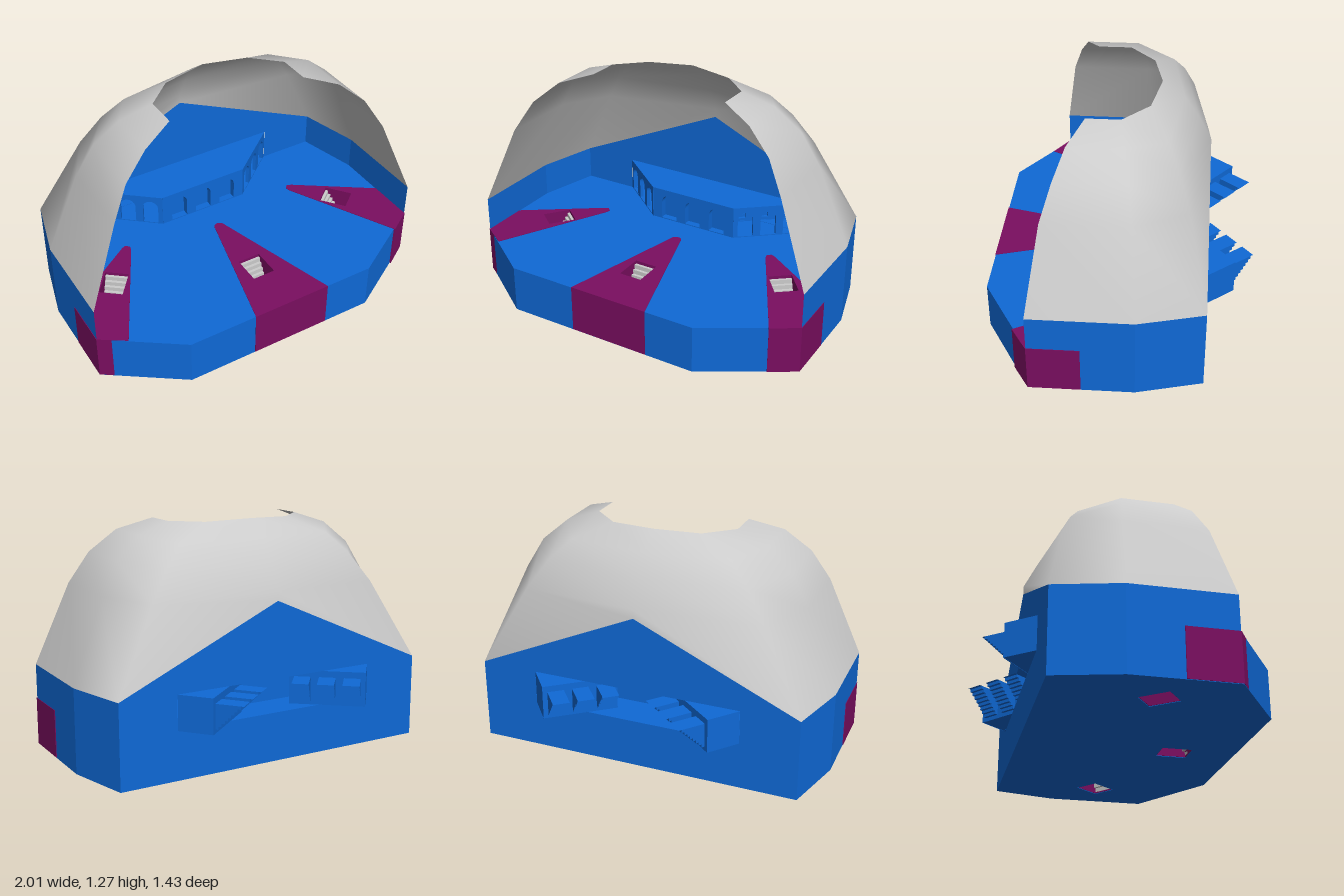
import * as THREE from 'three';

const BLUE = 0x0f69d6, PURPLE = 0x7a0e60, GREY = 0xcccccc;
const FLOOR = 0.265, EAVE = 0.46, ROOF = 0.455;

const material = (color) => new THREE.MeshStandardMaterial({ color, side: THREE.DoubleSide });
const blue = material(BLUE), purple = material(PURPLE), grey = material(GREY);

function add(parent, name, geometry, mat) {
  const mesh = new THREE.Mesh(geometry, mat);
  mesh.name = name;
  parent.add(mesh);
  return mesh;
}

// Surface through columns of [x, y, z] points
function sheet(columns, smooth = false) {
  const rows = columns[0].length, index = [];
  for (let i = 0; i < columns.length - 1; i++) {
    for (let j = 0; j < rows - 1; j++) {
      const a = i * rows + j, b = a + rows;
      index.push(a, b, a + 1, b, b + 1, a + 1);
    }
  }
  let geometry = new THREE.BufferGeometry();
  geometry.setAttribute('position', new THREE.Float32BufferAttribute(columns.flat(2), 3));
  geometry.setIndex(index);
  if (!smooth) geometry = geometry.toNonIndexed();
  geometry.computeVertexNormals();
  return geometry;
}

// Ribbon of the given width that follows a path of [z, y] points
const ribbon = (path, width) =>
  sheet(path.map(([z, y]) => [[-width / 2, y, z], [width / 2, y, z]]));

// Zigzag of steps that rises towards -z
function steps(z0, y0, run, rise, count) {
  const path = [[z0, y0]];
  for (let i = 0; i < count; i++) {
    const z = z0 - (run * i) / count, y = y0 + (rise * (i + 1)) / count;
    path.push([z, y], [z - run / count, y]);
  }
  return path;
}

// Slab from a plan of [x, z] points with holes
const planShape = (pts) => new THREE.Shape(pts.map(([x, z]) => new THREE.Vector2(x, -z)));
function slab(pts, holes, y, height) {
  const shape = planShape(pts);
  shape.holes = holes.map(planShape);
  return new THREE.ExtrudeGeometry(shape, { depth: height, bevelEnabled: false, curveSegments: 8 })
    .rotateX(-Math.PI / 2).translate(0, y, 0);
}

function archPath(x, width, bottom, top) {
  const r = width / 2, path = new THREE.Path();
  path.moveTo(x - r, bottom);
  path.lineTo(x + r, bottom);
  path.lineTo(x + r, top - r);
  path.absarc(x, top - r, r, 0, Math.PI, false);
  path.lineTo(x - r, bottom);
  return path;
}

const rectangle = (x0, y0, x1, y1) => new THREE.Shape(
  [[x0, y0], [x1, y0], [x1, y1], [x0, y1]].map(([x, y]) => new THREE.Vector2(x, y)));

// Upright wall pierced by arches, front face at z = 0
function archedWall(length, spacing, width, depth) {
  const shape = rectangle(-length / 2, FLOOR, length / 2, ROOF);
  for (const i of [-1, 0, 1]) shape.holes.push(archPath(i * spacing, width, FLOOR + 0.005, 0.42));
  return new THREE.ExtrudeGeometry(shape, { depth, bevelEnabled: false, curveSegments: 10 })
    .translate(0, 0, -depth);
}

// Corners of a hatch around a centre, turned about y
function hatchPlan({ x, z, turn }, w, d) {
  const c = Math.cos(turn), s = Math.sin(turn);
  return [[-w, -d], [w, -d], [w, d], [-w, d]].map(([u, v]) => [x + u * c + v * s, z - u * s + v * c]);
}

function buildStage(group) {
  const hatches = [
    { x: 0, z: 0.38, turn: 0 },
    { x: 0.74, z: 0.1, turn: 0.67 },
    { x: -0.74, z: 0.1, turn: -0.67 },
  ];
  const outline = [[-1, 0.43], [-0.6, 0.71], [0.53, 0.71], [1, 0.43], [1, -0.12],
    [0.91, -0.47], [-0.91, -0.47], [-1, -0.12]];
  add(group, 'platform', slab(outline, hatches.map((h) => hatchPlan(h, 0.068, 0.083)), 0, FLOOR), blue);

  // Tapering runways with rounded tips, slightly proud of the platform
  const sideRunway = (s) => [[0.862, 0.522], [1.003, 0.432], [1.003, 0.16], [0.575, -0.135],
    [0.55, -0.145], [0.53, -0.125], [0.535, -0.1]].map(([x, z]) => [s * x, z]);
  const tip = [];
  for (let i = 0; i <= 8; i++) {
    const a = (Math.PI * i) / 8;
    tip.push([0.032 * Math.cos(a), -0.018 - 0.032 * Math.sin(a)]);
  }
  const runways = [[[-0.21, 0.713], [0.25, 0.713], ...tip], sideRunway(1), sideRunway(-1)];
  runways.forEach((plan, i) => {
    const h = hatches[i];
    add(group, 'runway', slab(plan, [hatchPlan(h, 0.065, 0.08)], 0.003, FLOOR), purple);
    const stair = add(group, 'hatchStairs', ribbon(steps(0.08, 0.01, 0.16, 0.24, 10), 0.13), grey);
    stair.position.set(h.x, 0, h.z);
    stair.rotation.y = h.turn;
  });
}

function buildWalls(group) {
  for (const s of [1, -1]) {
    const plan = [[1, 0.43], [1, -0.12], [0.91, -0.47]];
    add(group, 'sideWall', sheet(plan.map(([x, z]) => [[s * x, FLOOR, z], [s * x, EAVE, z]])), blue);
  }
  // Gabled back wall with the opening behind the arcade
  const gable = new THREE.Shape([[-0.91, FLOOR], [0.91, FLOOR], [0.91, EAVE], [0, 0.87], [-0.91, EAVE]]
    .map(([x, y]) => new THREE.Vector2(x, y)));
  gable.holes.push(rectangle(-0.59, FLOOR + 0.004, 0.59, ROOF));
  add(group, 'backWall', new THREE.ShapeGeometry(gable).translate(0, 0, -0.47), blue);
}

function buildDome(group) {
  const half = [
    [[1, 0.46, 0.43], [0.82, 0.91, 0.36], [0.72, 1.08, 0.305], [0.58, 1.2, 0.25], [0.4, 1.26, 0.17]],
    [[1, 0.46, -0.12], [0.82, 0.91, -0.09], [0.72, 1.08, -0.07], [0.58, 1.2, -0.04], [0.4, 1.26, -0.01]],
    [[0.91, 0.46, -0.47], [0.67, 0.9, -0.37], [0.56, 1.06, -0.31], [0.45, 1.17, -0.25], [0.25, 1.26, -0.15]],
  ];
  const centre = [[0, 0.87, -0.47], [0, 0.92, -0.47], [0, 1.06, -0.4], [0, 1.18, -0.32], [0, 1.27, -0.2]];
  const mirrored = half.map((col) => col.map(([x, y, z]) => [-x, y, z])).reverse();
  add(group, 'domeShell', sheet([...half, centre, ...mirrored], true), grey);
}

function buildArcade(group) {
  // Centre bay with three blind niches
  const front = add(group, 'centreArcade', archedWall(0.54, 0.16, 0.1, 0.04), blue);
  front.position.z = -0.21;
  add(group, 'nicheBack', new THREE.PlaneGeometry(0.5, ROOF - FLOOR)
    .translate(0, (ROOF + FLOOR) / 2, -0.25), blue);
  const roof = planShape([[-0.59, -0.47], [-0.27, -0.21], [0.27, -0.21], [0.59, -0.47]]);
  add(group, 'arcadeRoof', new THREE.ShapeGeometry(roof).rotateX(-Math.PI / 2).translate(0, ROOF, 0), blue);

  // Angled wings: arches, corridor and three enclosed flights each
  const length = 0.412, depth = 0.19, spacing = 0.134, width = 0.09;
  for (const s of [1, -1]) {
    const wing = new THREE.Group();
    wing.name = 'arcadeWing';
    wing.position.set(s * 0.43, 0, -0.34);
    wing.rotation.y = s * 0.688;
    group.add(wing);
    add(wing, 'wingArches', archedWall(length, spacing, width, 0.02), blue);
    add(wing, 'corridorBack', archedWall(length, spacing, width, 0.004).translate(0, 0, -depth + 0.004), blue);
    for (const y of [FLOOR + 0.002, ROOF]) {
      add(wing, 'corridorSlab', ribbon([[0, y], [-depth, y]], length), blue);
    }
    for (const e of [-1, 1]) {
      const x = (e * length) / 2;
      add(wing, 'corridorEnd', sheet([0, -depth].map((z) => [[x, FLOOR, z], [x, ROOF, z]])), blue);
    }
    const path = [...steps(-depth, 0.27, 0.15, 0.15, 9), [-depth, 0.42]];
    const side = new THREE.Shape(path.map(([z, y]) => new THREE.Vector2(z, y)));
    for (const i of [-1, 0, 1]) {
      const flight = new THREE.Group();
      flight.name = 'stairFlight';
      flight.position.x = i * spacing;
      wing.add(flight);
      add(flight, 'stepsAndCeiling', ribbon(path, width), blue);
      for (const e of [-1, 1]) {
        add(flight, 'flightSide', new THREE.ShapeGeometry(side).rotateY(-Math.PI / 2)
          .translate((e * width) / 2, 0, 0), blue);
      }
    }
  }
}

export function createModel() {
  const group = new THREE.Group();
  group.name = 'domedStage';
  buildStage(group);
  buildWalls(group);
  buildDome(group);
  buildArcade(group);
  return group;
}
